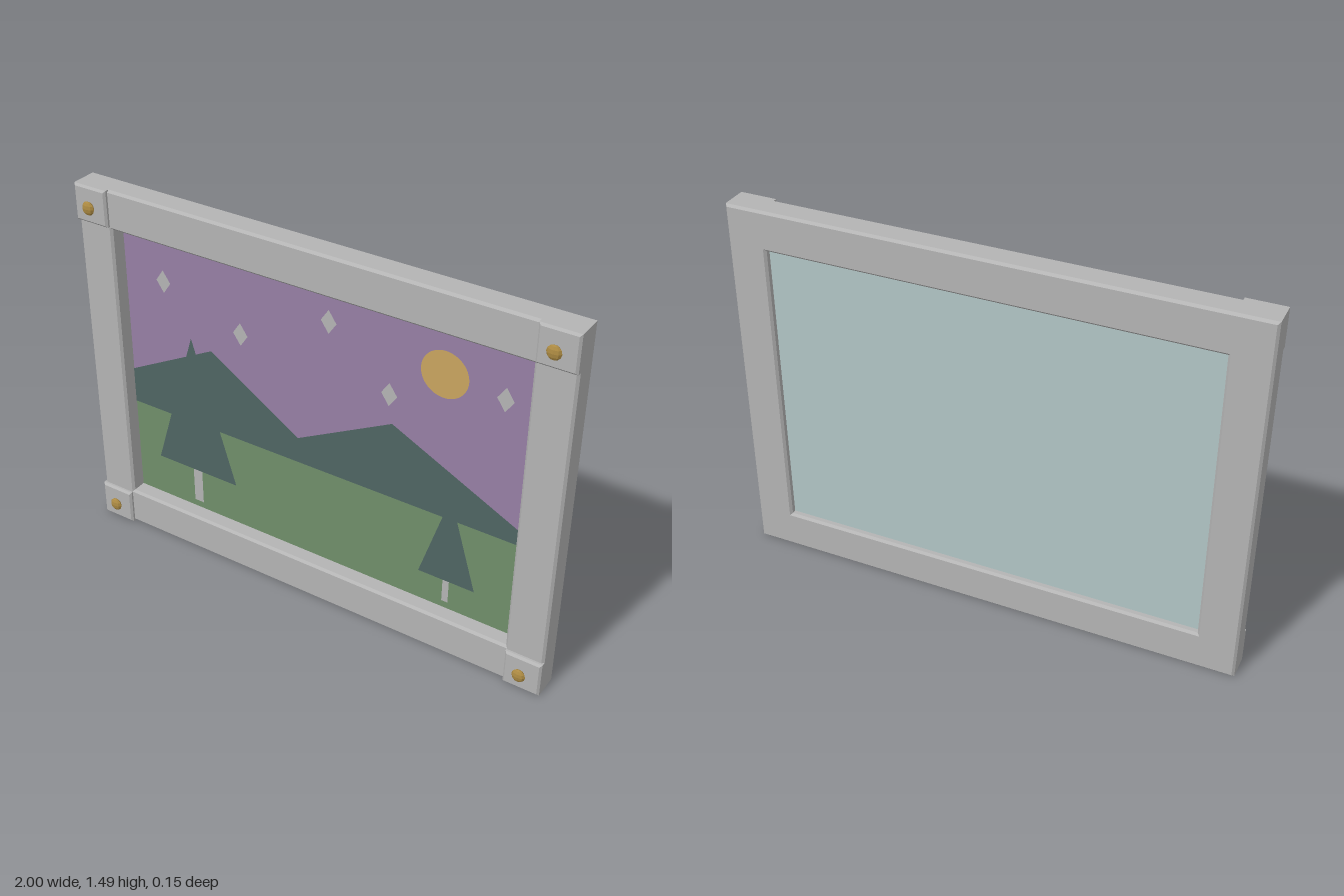
import * as THREE from 'three';

const material = (name, color) => {
  const m = new THREE.MeshStandardMaterial({ color });
  m.name = name;
  return m;
};

const polygon = (points) => new THREE.Shape(points.map(([x, y]) => new THREE.Vector2(x, y)));
const rect = (x0, y0, x1, y1) => polygon([[x0, y0], [x1, y0], [x1, y1], [x0, y1]]);

// Extrusion from z0 to z1 whose chamfer stays inside the outline
function chamfered(shape, z0, z1, bevel) {
  const geometry = new THREE.ExtrudeGeometry(shape, {
    depth: z1 - z0 - 2 * bevel, bevelThickness: bevel, bevelSize: bevel,
    bevelOffset: -bevel, bevelSegments: 1,
  });
  return geometry.translate(0, 0, z0 + bevel);
}

export function createModel() {
  const group = new THREE.Group();
  const grey = material('frame grey', 0xb4b4b4);
  const brass = material('brass', 0xac8a42);
  const glass = material('pale teal', 0xb2c6c6);
  const purple = material('sky purple', 0x977fa5);
  const green = material('grass green', 0x708e6a);
  const pine = material('pine green', 0x4f6563);
  const gold = material('sun gold', 0xc9a55f);

  const add = (name, geometry, mat) => {
    const mesh = new THREE.Mesh(geometry, mat);
    mesh.name = name;
    group.add(mesh);
    return mesh;
  };

  const H = 1.488, IN = 0.848, LOW = 0.156, HIGH = H - LOW;

  // Frame with chamfered edges
  const outline = rect(-1, 0, 1, H);
  outline.holes.push(rect(-IN, LOW, IN, HIGH));
  add('frame', chamfered(outline, -0.073, 0.029, 0.009), grey);

  // Raised corner blocks, each with a faceted stud
  const block = chamfered(rect(-0.0725, -0.0725, 0.0725, 0.0725), -0.03, 0.045, 0.008);
  const stud = new THREE.SphereGeometry(0.027, 8, 6).toNonIndexed();
  stud.scale(1, 1, 0.5);
  stud.computeVertexNormals();
  for (const x of [-1, 1]) {
    for (const top of [false, true]) {
      const y = top ? H - 0.0725 : 0.0725;
      add('cornerBlock', block, grey).position.set(x * 0.9275, y, 0);
      add('cornerStud', stud, brass).position.set(x * 0.923, top ? H - 0.076 : 0.076, 0.061);
    }
  }

  // Backing panel
  const panel = new THREE.BoxGeometry(2 * IN + 0.02, HIGH - LOW + 0.02, 0.012);
  add('backingPanel', panel.translate(0, H / 2, -0.041), glass);

  // Landscape built from thin stacked layers
  const layer = (name, shape, level, mat) => {
    const mesh = add(name, new THREE.ShapeGeometry(shape, 24), mat);
    mesh.position.z = -0.034 + 0.002 * level;
  };
  const HORIZON = 0.563;
  layer('sky', rect(-IN, HORIZON, IN, HIGH), 0, purple);
  layer('grass', rect(-IN, LOW, IN, HORIZON), 0, green);
  layer('mountains', polygon([
    [-IN, HORIZON], [IN, HORIZON], [IN, 0.617], [0.318, 0.878],
    [-0.078, 0.67], [-0.463, 0.916], [-IN, 0.713],
  ]), 1, pine);

  const sun = new THREE.Shape();
  sun.absarc(0.511, 1.145, 0.091, 0, Math.PI * 2, false);
  layer('sun', sun, 1, gold);

  const stars = [[-0.671, 1.146], [-0.326, 1.031], [0.053, 1.202], [0.302, 0.993], [0.738, 1.125]];
  for (const [x, y] of stars) {
    layer('star', polygon([[x, y - 0.047], [x + 0.032, y], [x, y + 0.047], [x - 0.032, y]]), 1, grey);
  }

  // Pine trees: x, base, tip, half width, trunk half width
  for (const [x, base, tip, w, t] of [[-0.554, 0.338, 0.942, 0.187, 0.021], [0.567, 0.285, 0.66, 0.115, 0.013]]) {
    layer('trunk', rect(x - t, 0.188, x + t, base), 2, grey);
    layer('treeCrown', polygon([[x - w, base], [x + w, base], [x, tip]]), 2, pine);
  }

  return group;
}
